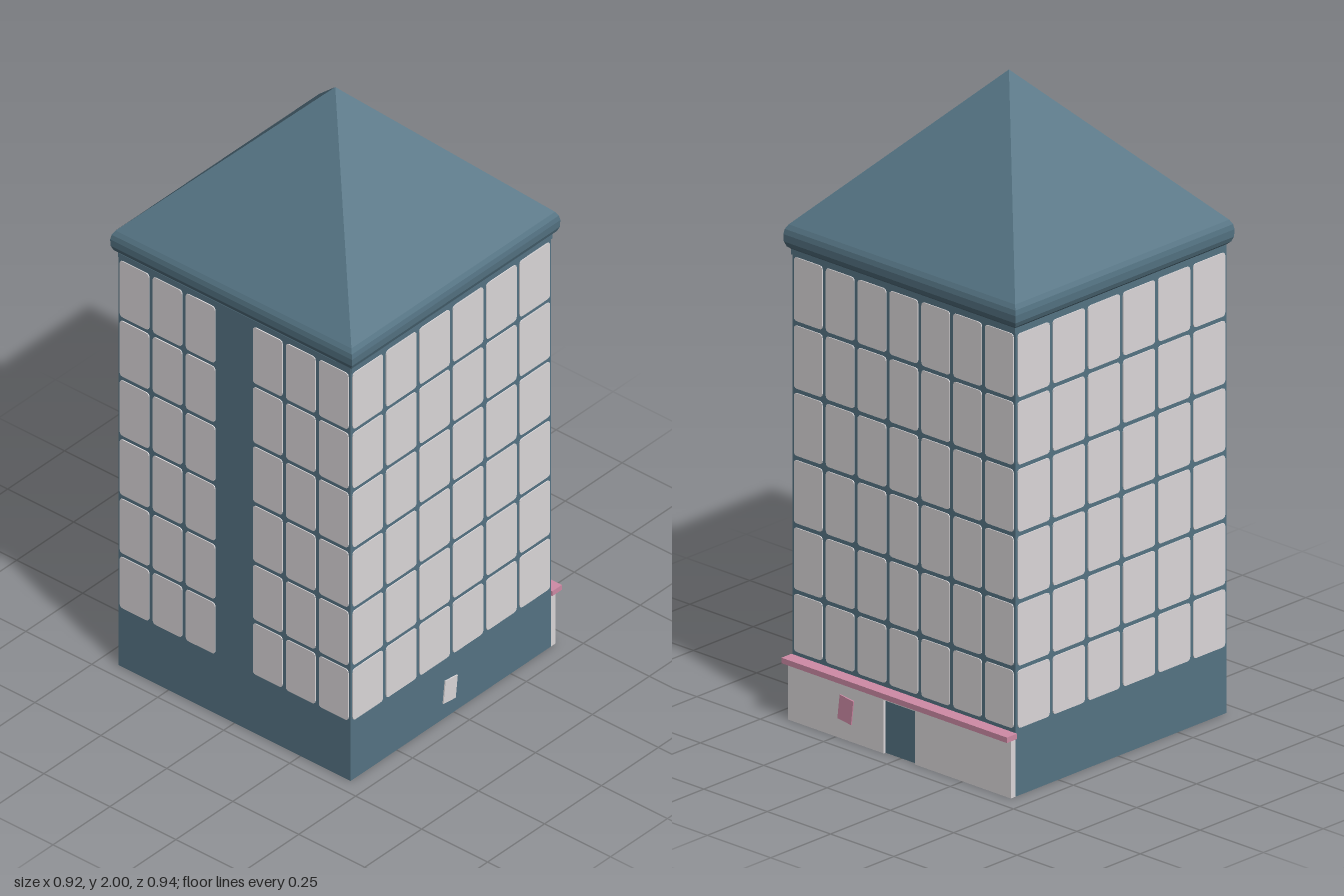
import * as THREE from 'three';

const HALF = 0.44;       // half width of the tower
const CZ = 0.0125;       // tower centre in z
const ROWS = [0.202, 0.395, 0.6, 0.809, 1.017, 1.226, 1.437];

export function createModel() {
  const teal = new THREE.MeshStandardMaterial({ name: 'slateTeal', color: 0x557484 });
  const pale = new THREE.MeshStandardMaterial({ name: 'paleGrey', color: 0xdcd8da });
  const pink = new THREE.MeshStandardMaterial({ name: 'rosePink', color: 0xcf8ba6 });

  const model = new THREE.Group();
  model.name = 'tower';

  function add(parent, name, geometry, material, x = 0, y = 0, z = 0) {
    const mesh = new THREE.Mesh(geometry, material);
    mesh.name = name;
    mesh.position.set(x, y, z);
    parent.add(mesh);
    return mesh;
  }
  const box = (w, h, d) => new THREE.BoxGeometry(w, h, d);

  // Rounded window pane, centred on its own origin
  function paneGeometry(w, h, r = 0.012) {
    const s = new THREE.Shape();
    const x = w / 2, y = h / 2;
    s.moveTo(-x + r, -y);
    s.lineTo(x - r, -y);
    s.quadraticCurveTo(x, -y, x, -y + r);
    s.lineTo(x, y - r);
    s.quadraticCurveTo(x, y, x - r, y);
    s.lineTo(-x + r, y);
    s.quadraticCurveTo(-x, y, -x, y - r);
    s.lineTo(-x, -y + r);
    s.quadraticCurveTo(-x, -y, -x + r, -y);
    return new THREE.ExtrudeGeometry(s, { depth: 0.006, bevelEnabled: false, curveSegments: 3 });
  }

  // Grid of panes between two edges of a wall
  function windowGrid(wall, from, to, columns) {
    const gap = 0.014, step = (to - from) / columns;
    for (let r = 0; r < ROWS.length - 1; r++) {
      const height = ROWS[r + 1] - ROWS[r];
      const geometry = paneGeometry(step - gap, height - gap);
      for (let c = 0; c < columns; c++) {
        add(wall, 'windowPane', geometry, pale,
          from + (c + 0.5) * step, ROWS[r] + height / 2, HALF - 0.003);
      }
    }
  }

  // Each wall group faces +z before it is turned
  function makeWall(name, turn) {
    const wall = new THREE.Group();
    wall.name = name;
    wall.position.z = CZ;
    wall.rotation.y = turn;
    model.add(wall);
    return wall;
  }

  // Tower body
  add(model, 'body', box(HALF * 2, 1.45, HALF * 2), teal, 0, 0.725, CZ);

  const front = makeWall('frontWall', 0);
  const left = makeWall('leftWall', Math.PI / 2);
  const back = makeWall('backWall', Math.PI);
  const right = makeWall('rightWall', -Math.PI / 2);

  // Front windows leave a plain strip up the middle
  windowGrid(front, -HALF, -0.065, 3);
  windowGrid(front, 0.065, HALF, 3);
  windowGrid(left, -HALF, HALF, 6);
  windowGrid(right, -HALF, HALF, 6);
  windowGrid(back, -HALF, HALF, 7);

  // Rounded cornice and pyramid roof as one four-sided profile
  const profile = [
    [0, 1.435], [0.442, 1.435], [0.442, 1.452], [0.451, 1.46], [0.457, 1.475],
    [0.458, 1.498], [0.455, 1.514], [0.447, 1.528], [0, 2],
  ].map(([r, y]) => new THREE.Vector2(r * Math.SQRT2, y));
  const roofGeometry = new THREE.LatheGeometry(profile, 4).rotateY(Math.PI / 4).toNonIndexed();
  roofGeometry.computeVertexNormals();
  add(model, 'roof', roofGeometry, teal, 0, 0, 0.01);

  // Shop front on the back wall, with a doorway in the middle
  const shop = new THREE.Group();
  shop.name = 'shopFront';
  back.add(shop);
  const depth = 0.02, z = HALF + depth / 2, doorHalf = 0.062;
  const panelWidth = HALF - doorHalf;
  for (const side of [-1, 1]) {
    add(shop, 'shopPanel', box(panelWidth, 0.18, depth), pale,
      side * (doorHalf + panelWidth / 2), 0.09, z);
  }
  add(shop, 'doorLintel', box(doorHalf * 2, 0.015, depth), pale, 0, 0.1725, z);
  add(shop, 'door', box(doorHalf * 2, 0.165, 0.012), teal, 0, 0.0825, HALF + 0.006);
  add(shop, 'canopy', box(0.89, 0.017, 0.042), pink, 0, 0.188, HALF + 0.021);

  // Tilted plaques on the shop front and on the left wall
  const plaque = box(0.054, 0.076, 0.006);
  add(shop, 'shopPlaque', plaque, pink, -0.21, 0.095, HALF + depth + 0.001).rotation.z = -0.12;
  add(left, 'wallPlaque', plaque, pale, -0.005, 0.09, HALF + 0.001).rotation.z = -0.12;

  return model;
}
